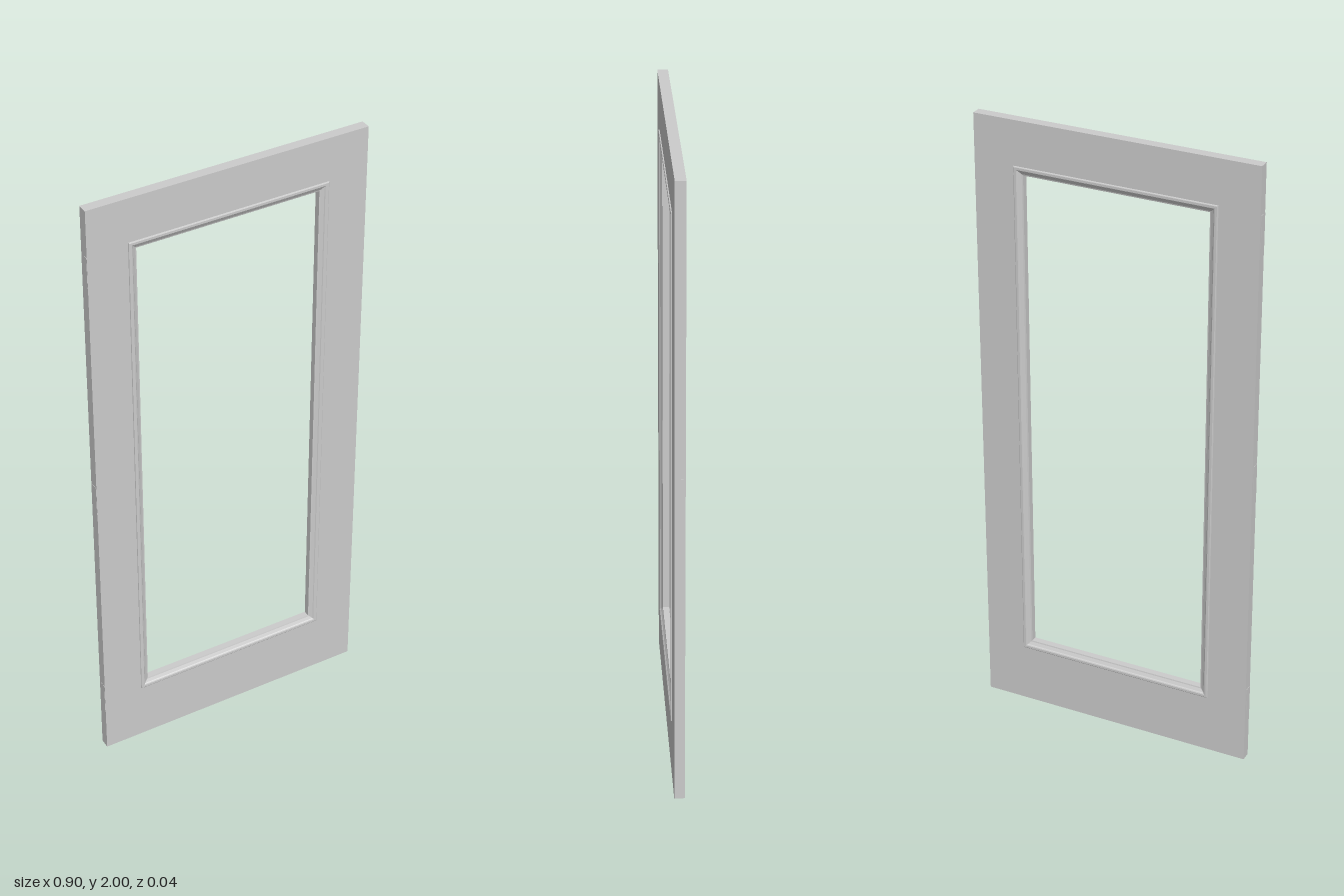
import * as THREE from 'three';

const W = 0.9, H = 2, T = 0.032;                              // door slab
const OPEN = { x: 0.295, bottom: 0.223, top: 1.831 };         // clear opening

function rectPath(path, x, y0, y1) {
  path.moveTo(-x, y0);
  path.lineTo(x, y0);
  path.lineTo(x, y1);
  path.lineTo(-x, y1);
  path.closePath();
  return path;
}

// Sweeps a [offset from opening, z] profile round the opening with mitred corners
function mitredRing(profile) {
  const corner = (i, [d, z]) => [
    (i === 1 || i === 2 ? 1 : -1) * (OPEN.x + d),
    i < 2 ? OPEN.bottom - d : OPEN.top + d,
    z,
  ];
  const pos = [];
  for (let i = 0; i < 4; i++) {
    const n = (i + 1) % 4;
    for (let j = 0; j < profile.length - 1; j++) {
      const a = corner(i, profile[j]), b = corner(n, profile[j]);
      const c = corner(n, profile[j + 1]), d = corner(i, profile[j + 1]);
      pos.push(...a, ...b, ...c, ...a, ...c, ...d);
    }
  }
  const geo = new THREE.BufferGeometry();
  geo.setAttribute('position', new THREE.Float32BufferAttribute(pos, 3));
  geo.computeVertexNormals();
  return geo;
}

export function createModel() {
  const group = new THREE.Group();
  const grey = new THREE.MeshStandardMaterial({ color: 0xcccccc, flatShading: true });
  const add = (name, geo, x = 0, y = 0, z = 0) => {
    const mesh = new THREE.Mesh(geo, grey);
    mesh.name = name;
    mesh.position.set(x, y, z);
    group.add(mesh);
  };

  // Door slab with the glazing opening cut out; its cut edge hides in the moulding
  const slab = rectPath(new THREE.Shape(), W / 2, 0, H);
  slab.holes.push(rectPath(new THREE.Path(), OPEN.x + 0.016, OPEN.bottom - 0.016, OPEN.top + 0.016));
  add('doorSlab', new THREE.ExtrudeGeometry(slab, { depth: T, bevelEnabled: false }), 0, 0, -T / 2);

  // Moulding: raised bead on each face, sloping down to the inner edge
  const front = [[0.028, 0.0155], [0.027, 0.019], [0.025, 0.02], [0.018, 0.02],
    [0.015, 0.0185], [0.013, 0.016], [0.004, 0.011], [0, 0.01]];
  const back = front.map(([d, z]) => [d, -z]).reverse();
  add('openingMoulding', mitredRing([...front, ...back]));

  // Hinge leaves, almost flush on the right-hand edge
  for (const y of [0.21, 1.0, 1.8]) {
    add('hingeLeaf', new THREE.BoxGeometry(0.002, 0.1, 0.024), -W / 2, y, 0.003);
  }

  // Latch and bolt plates on the opposite edge
  for (const y of [0.922, 1.07]) {
    add('latchPlate', new THREE.BoxGeometry(0.002, 0.056, 0.02), W / 2, y, 0);
  }
  return group;
}
